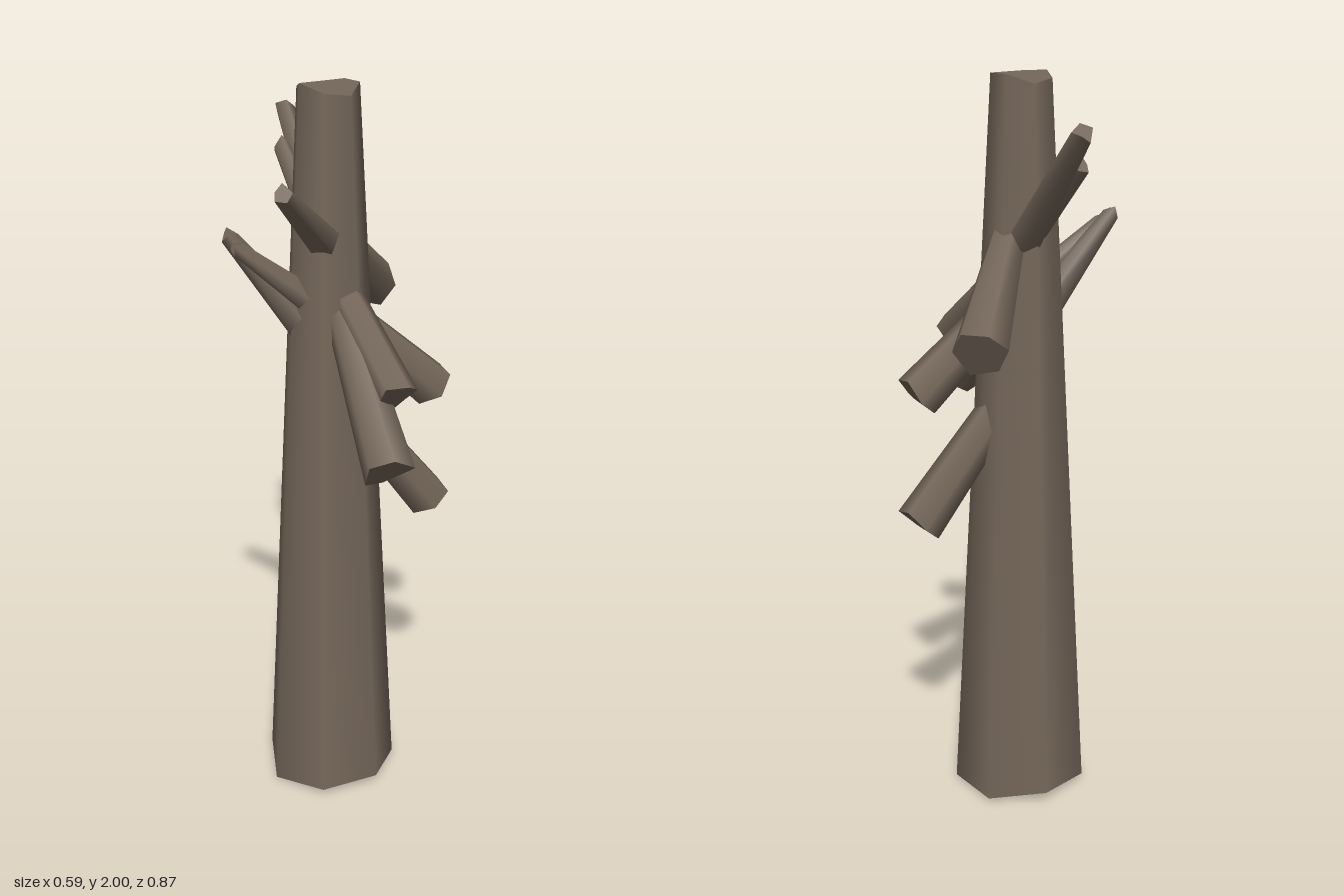
import * as THREE from 'three';

const bark = new THREE.MeshStandardMaterial({ color: 0x75675a });
bark.name = 'bark';

// Tapered limb between two points, with an uneven broken edge at its far end.
function limb(name, from, to, r0, r1, { sides = 6, jag = 0.02, baseJag = 0, turn = 0.4 } = {}) {
  const a = new THREE.Vector3(...from);
  const b = new THREE.Vector3(...to);
  const length = a.distanceTo(b);
  const geometry = new THREE.CylinderGeometry(r1, r0, length, sides, 1, false, turn);
  const p = geometry.attributes.position;
  for (let i = 0; i < p.count; i++) {
    const x = p.getX(i), y = p.getY(i), z = p.getZ(i);
    if (Math.hypot(x, z) < 1e-5) continue;
    const angle = Math.atan2(x, z);
    const wave = 0.5 + 0.5 * Math.sin(angle * 2 + 1.3 + length * 9);
    p.setY(i, y > 0 ? y - jag * wave : y + baseJag * wave);
  }
  const mesh = new THREE.Mesh(geometry, bark);
  mesh.name = name;
  mesh.position.copy(a).add(b).multiplyScalar(0.5);
  mesh.quaternion.setFromUnitVectors(new THREE.Vector3(0, 1, 0), b.sub(a).normalize());
  return mesh;
}

export function createModel() {
  const tree = new THREE.Group();
  tree.name = 'deadTree';

  // Trunk
  tree.add(limb('trunk', [-0.03, 0, 0], [-0.03, 2, 0.004], 0.188, 0.08,
    { sides: 7, jag: 0.03, baseJag: 0.03, turn: 1.71 }));

  // Thick drooping stumps, widening towards the cut end
  const stumps = [
    ['backStump', [0.0, 1.6, 0.0], [0.09, 1.365, -0.405], 0.045, 0.07],
    ['upperLeftStump', [0.0, 1.42, 0.01], [0.255, 1.17, -0.08], 0.05, 0.066],
    ['lowerLeftStump', [0.0, 1.17, -0.01], [0.252, 0.82, -0.1], 0.05, 0.066],
    ['frontStumpShort', [0.0, 1.49, 0.02], [0.15, 1.27, 0.265], 0.045, 0.055],
    ['frontStumpLong', [0.0, 1.45, 0.04], [0.128, 1.115, 0.375], 0.045, 0.066],
  ];
  for (const [name, from, to, r0, r1] of stumps) tree.add(limb(name, from, to, r0, r1));

  // Thin rising branches, narrowing towards the tip
  const branches = [
    ['frontBranch', [-0.03, 1.6, 0.03], [-0.123, 1.825, 0.425], 0.048, 0.023],
    ['rightBranchLow', [-0.05, 1.33, 0.02], [-0.285, 1.645, 0.083], 0.055, 0.023],
    ['rightBranchHigh', [-0.04, 1.43, 0.04], [-0.265, 1.62, 0.112], 0.04, 0.02],
    ['backBranchLong', [-0.03, 1.57, -0.05], [-0.158, 1.885, -0.35], 0.045, 0.027],
    ['backBranchShort', [-0.05, 1.6, -0.04], [-0.163, 1.8, -0.255], 0.042, 0.026],
  ];
  for (const [name, from, to, r0, r1] of branches) tree.add(limb(name, from, to, r0, r1, { sides: 5, jag: 0.025 }));

  return tree;
}
